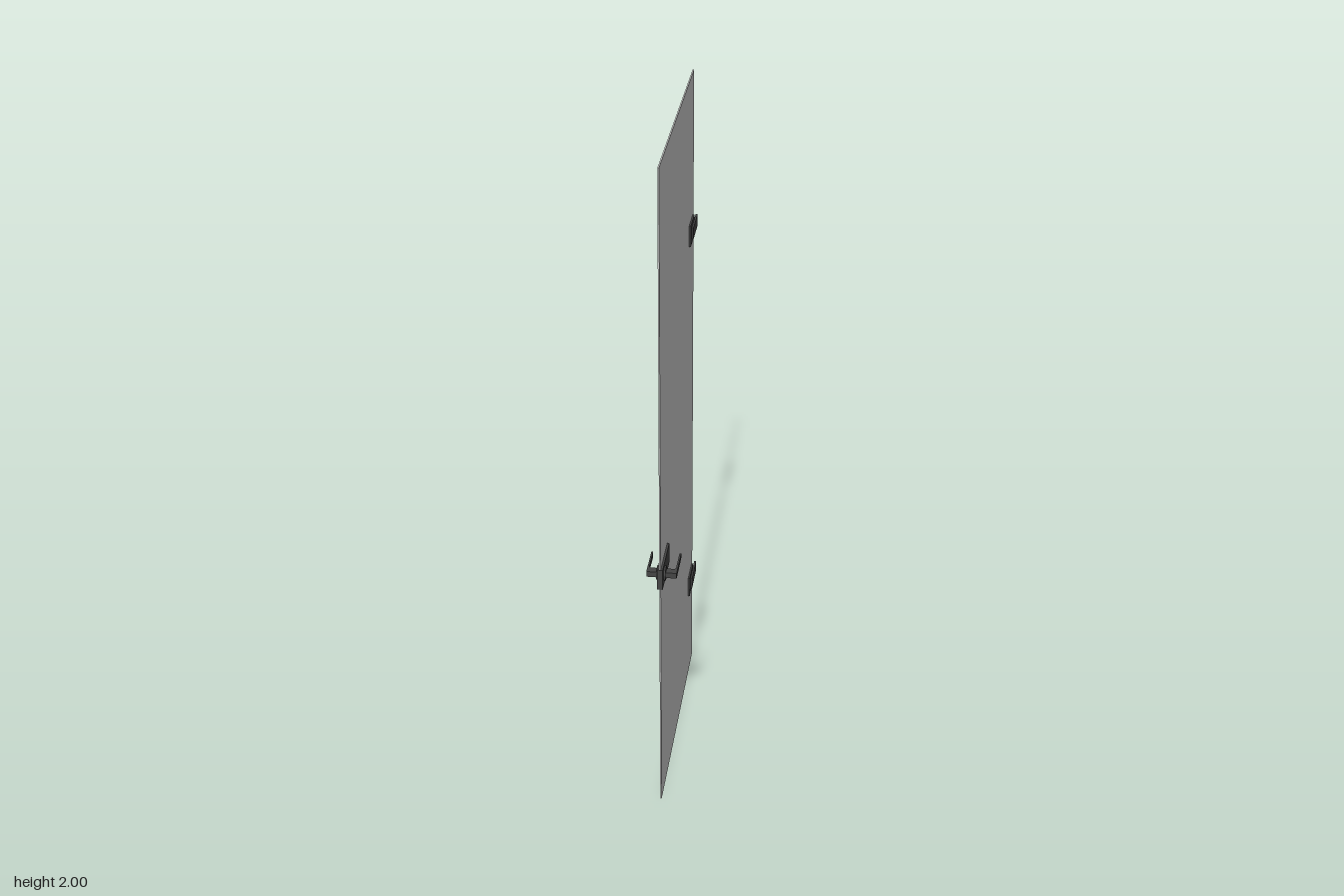
import * as THREE from 'three';

const paneMat = new THREE.MeshStandardMaterial({ color: 0xcccccc });
const metalMat = new THREE.MeshStandardMaterial({ color: 0x444444 });

// Box given by its [min, max] range on each axis
function box(name, [x0, x1], [y0, y1], [z0, z1], mat = metalMat) {
  const mesh = new THREE.Mesh(new THREE.BoxGeometry(x1 - x0, y1 - y0, z1 - z0), mat);
  mesh.position.set((x0 + x1) / 2, (y0 + y1) / 2, (z0 + z1) / 2);
  mesh.name = name;
  return mesh;
}

// Hinge: clamp plate on the pane with a narrower arm reaching past its edge
function hinge(name, y) {
  const group = new THREE.Group();
  group.name = name;
  group.add(
    box('hingePlate', [-0.001, 0.006], [-0.033, 0.033], [-0.355, -0.267]),
    box('hingeArm', [0.005, 0.011], [-0.018, 0.018], [-0.396, -0.29])
  );
  group.position.y = y;
  return group;
}

// L-shaped lever in the x-z plane with a filleted inner corner
function leverGeometry() {
  const h = 0.017;
  const s = new THREE.Shape();
  s.moveTo(0.007, 0.368);
  s.lineTo(0.007, 0.345);
  s.lineTo(0.031, 0.345);
  s.quadraticCurveTo(0.038, 0.345, 0.038, 0.338);
  s.lineTo(0.038, 0.26);
  s.lineTo(0.043, 0.26);
  s.lineTo(0.043, 0.368);
  s.closePath();
  const geo = new THREE.ExtrudeGeometry(s, { depth: h, bevelEnabled: false, curveSegments: 6 });
  return geo.rotateX(Math.PI / 2).translate(0, h / 2, 0);
}

// Handle set: lock case, round roses and a lever on each side
function handle(y) {
  const group = new THREE.Group();
  group.name = 'handle';
  group.add(box('lockCase', [-0.009, 0.007], [-0.032, 0.032], [0.247, 0.394]));

  const rose = new THREE.Mesh(new THREE.CylinderGeometry(0.021, 0.021, 0.026, 32), metalMat);
  rose.name = 'rose';
  rose.rotation.z = Math.PI / 2;
  rose.position.set(-0.001, 0, 0.356);
  group.add(rose);

  const geo = leverGeometry();
  for (const [name, turn] of [['leftLever', 0], ['rightLever', Math.PI]]) {
    const lever = new THREE.Mesh(geo, metalMat);
    lever.name = name;
    lever.rotation.z = turn;
    group.add(lever);
  }
  group.position.y = y;
  return group;
}

export function createModel() {
  const door = new THREE.Group();
  door.name = 'door';
  door.add(
    box('pane', [-0.003, 0.001], [0, 2], [-0.375, 0.392], paneMat),
    hinge('upperHinge', 1.532),
    hinge('lowerHinge', 0.328),
    handle(0.77)
  );
  return door;
}
